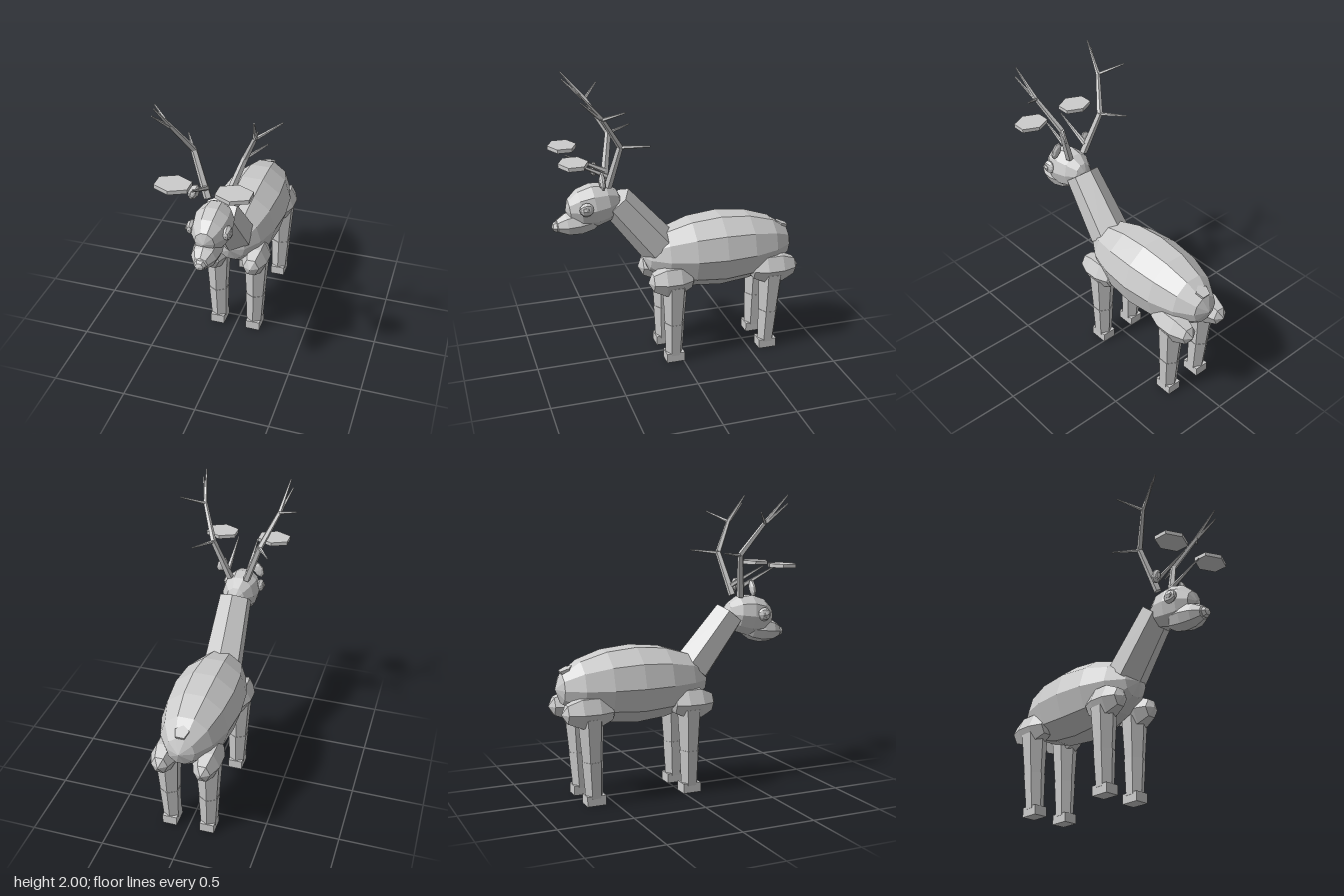
import * as THREE from 'three';

const grey = new THREE.MeshStandardMaterial({ color: 0xcccccc, flatShading: true });
grey.name = 'grey';

const V = (x, y, z) => new THREE.Vector3(x, y, z);

export function createModel() {
  const model = new THREE.Group();
  model.name = 'deer';

  const add = (name, geo, pos, rot = [0, 0, 0]) => {
    const mesh = new THREE.Mesh(geo, grey);
    mesh.name = name;
    mesh.position.set(...pos);
    mesh.rotation.set(...rot);
    model.add(mesh);
    return mesh;
  };

  // low-poly ellipsoid with its poles along z
  const blob = (name, pos, size, around, along, rot) =>
    add(name, new THREE.SphereGeometry(1, around, along).rotateX(Math.PI / 2).scale(...size), pos, rot);

  // tapered prism between two points
  const limb = (name, a, b, ra, rb, sides) => {
    const dir = b.clone().sub(a);
    const mesh = add(name, new THREE.CylinderGeometry(rb, ra, dir.length(), sides),
      a.clone().add(b).multiplyScalar(0.5).toArray());
    mesh.quaternion.setFromUnitVectors(V(0, 1, 0), dir.normalize());
    return mesh;
  };

  // torso, neck and tail
  blob('body', [0, 0.757, -0.3], [0.25, 0.265, 0.545], 10, 8);
  limb('neck', V(0, 0.83, 0.13), V(0, 1.185, 0.42), 0.138, 0.115, 6);
  limb('tail', V(0, 0.8, -0.74), V(0, 0.89, -0.775), 0.035, 0.05, 5);

  // head
  blob('head', [0, 1.172, 0.57], [0.13, 0.148, 0.19], 10, 6, [0.12, 0, 0]);
  blob('muzzle', [0, 1.065, 0.67], [0.095, 0.09, 0.165], 8, 6, [0.12, 0, 0]);
  blob('nose', [0, 1.045, 0.82], [0.04, 0.038, 0.032], 6, 4);

  for (const s of [-1, 1]) {
    // eyes and ears
    blob('eye', [s * 0.118, 1.185, 0.638], [0.03, 0.048, 0.047], 8, 6);
    blob('pupil', [s * 0.14, 1.185, 0.645], [0.014, 0.024, 0.024], 6, 4);
    blob('ear', [s * 0.132, 1.372, 0.532], [0.036, 0.062, 0.02], 8, 5, [0, 0, s * 0.45]);
    blob('innerEar', [s * 0.132, 1.368, 0.545], [0.022, 0.042, 0.014], 6, 4, [0, 0, s * 0.45]);

    // antler beam and tines
    const beam = [V(s * 0.06, 1.31, 0.48), V(s * 0.165, 1.605, 0.42),
      V(s * 0.262, 1.82, 0.55), V(s * 0.298, 2.0, 0.7)];
    const radii = [0.027, 0.021, 0.015, 0.005];
    for (let i = 0; i < 3; i++) limb('antlerBeam', beam[i], beam[i + 1], radii[i], radii[i + 1], 5);
    const tines = [
      [V(s * 0.07, 1.375, 0.47), V(s * 0.07, 1.505, 0.73), 0.018],
      [V(s * 0.165, 1.6, 0.42), V(s * 0.26, 1.62, 0.25), 0.013],
      [V(s * 0.26, 1.815, 0.55), V(s * 0.4, 1.888, 0.44), 0.012],
      [V(s * 0.265, 1.82, 0.56), V(s * 0.318, 1.945, 0.69), 0.012],
    ];
    for (const [a, b, r] of tines) limb('antlerTine', a, b, r, 0.005, 5);

    // flat hexagonal plate in front of each antler
    add('hexPlate', new THREE.CylinderGeometry(1, 1, 0.026, 6).scale(0.121, 1, 0.096),
      [s * 0.19, 1.527, 0.727]);

    // legs: front pair, then back pair
    for (const [label, zTop, zKnee, zHoof, zJoint, len] of [
      ['front', 0.052, 0.055, 0.057, 0.073, 0.167],
      ['back', -0.65, -0.64, -0.63, -0.662, 0.187],
    ]) {
      const joint = label === 'front' ? 'Shoulder' : 'Haunch';
      blob(label + joint, [s * 0.142, 0.617, zJoint], [0.096, 0.115, len], 6, 5);
      limb(label + 'UpperLeg', V(s * 0.137, 0.28, zKnee), V(s * 0.14, 0.58, zTop), 0.069, 0.089, 6);
      limb(label + 'LowerLeg', V(s * 0.132, 0.05, zHoof), V(s * 0.137, 0.295, zKnee), 0.06, 0.073, 6);
      add(label + 'Hoof', new THREE.BoxGeometry(0.1, 0.066, 0.128), [s * 0.132, 0.033, zHoof]);
    }
  }
  return model;
}
